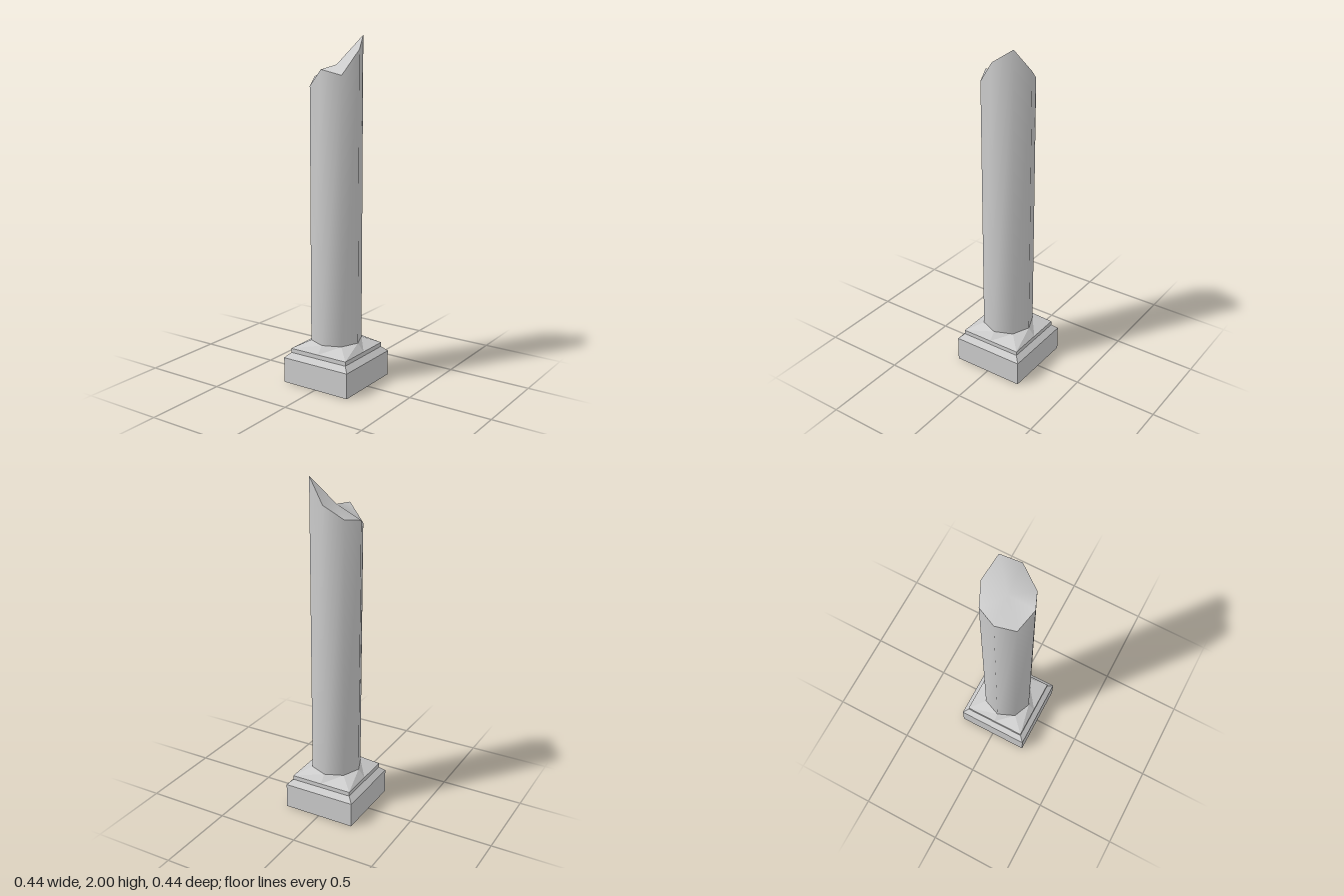
import * as THREE from 'three';

const SIDES = 8;
const R = 0.15;

// One ring point per octagon direction, counter-clockwise seen from above
const octagon = (r, y) => Array.from({ length: SIDES }, (_, i) => {
  const a = (i / SIDES) * Math.PI * 2;
  return [r * Math.sin(a), Array.isArray(y) ? y[i] : y, r * Math.cos(a)];
});

// Square ring sampled at its corners and edge middles, matching the octagon
const square = (h, y) => Array.from({ length: SIDES }, (_, i) => {
  const a = (i / SIDES) * Math.PI * 2;
  return [h * Math.sign(Math.round(Math.sin(a) * 10)), y, h * Math.sign(Math.round(Math.cos(a) * 10))];
});

function toGeometry(points, index) {
  const g = new THREE.BufferGeometry();
  g.setAttribute('position', new THREE.Float32BufferAttribute(points.flat(), 3));
  g.setIndex(index);
  g.computeVertexNormals();
  return g;
}

// Skin between successive rings, from bottom to top
function loft(rings) {
  const index = [];
  for (let k = 0; k < rings.length - 1; k++) {
    for (let i = 0; i < SIDES; i++) {
      const j = (i + 1) % SIDES;
      const a = k * SIDES + i, b = k * SIDES + j;
      index.push(a, b, b + SIDES, a, b + SIDES, a + SIDES);
    }
  }
  return toGeometry(rings.flat(), index);
}

// Fan from a centre point to a ring
function fan(ring, centerY, up) {
  const index = [];
  for (let i = 0; i < SIDES; i++) {
    const j = (i + 1) % SIDES;
    index.push(SIDES, up ? i : j, up ? j : i);
  }
  return toGeometry([...ring, [0, centerY, 0]], index);
}

export function createModel() {
  const group = new THREE.Group();
  const smooth = new THREE.MeshStandardMaterial({ color: 0xcccccc });
  const flat = new THREE.MeshStandardMaterial({ color: 0xcccccc, flatShading: true });
  const add = (name, geometry, material) => {
    const mesh = new THREE.Mesh(geometry, material);
    mesh.name = name;
    group.add(mesh);
  };

  // Square plinth with a bevelled shoulder, a short step and a slope up to the shaft
  add('plinth', loft([square(0.22, 0), square(0.22, 0.15), square(0.19, 0.18)]), flat);
  add('plinthUnderside', fan(square(0.22, 0), 0, false), flat);
  add('collar', loft([square(0.19, 0.18), square(0.19, 0.205), octagon(R, 0.25)]), flat);

  // Smooth eight-sided shaft ending in a jagged break
  const breakHeights = [1.82, 1.79, 1.925, 2.0, 1.865, 1.79, 1.77, 1.725];
  const rim = octagon(R, breakHeights);
  add('shaft', loft([octagon(R, 0.25), rim]), smooth);
  add('brokenTop', fan(rim, 1.84, true), smooth);

  return group;
}
